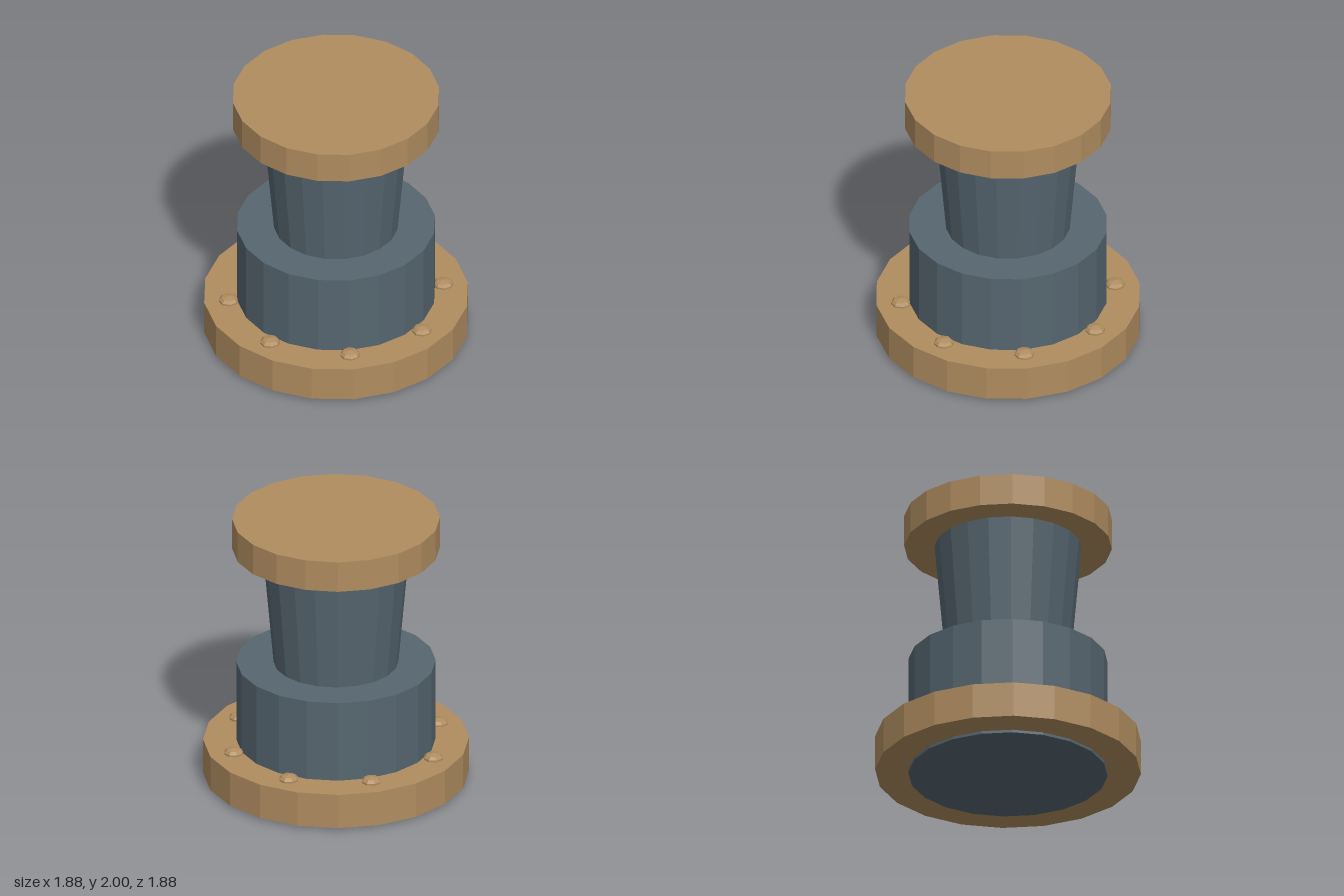
import * as THREE from 'three';

const SIDES = 20;

export function createModel() {
  const model = new THREE.Group();
  model.name = 'flangedPost';

  const brass = new THREE.MeshStandardMaterial({ color: 0xb08d60, flatShading: true });
  brass.name = 'brass';
  const slate = new THREE.MeshStandardMaterial({ color: 0x566670, flatShading: true });
  slate.name = 'slate';

  // Upright drum between two heights
  function drum(name, bottomRadius, topRadius, y0, y1, material) {
    const geometry = new THREE.CylinderGeometry(topRadius, bottomRadius, y1 - y0, SIDES);
    const mesh = new THREE.Mesh(geometry, material);
    mesh.name = name;
    mesh.position.y = (y0 + y1) / 2;
    model.add(mesh);
  }

  drum('baseDrum', 0.705, 0.705, 0, 0.885, slate);
  drum('baseFlange', 0.94, 0.94, 0.02, 0.28, brass);
  drum('taperedNeck', 0.442, 0.52, 0.885, 1.77, slate);
  drum('topCap', 0.735, 0.735, 1.77, 2, brass);

  // Ring of eight domed bolts on the flange
  const boltProfile = [[0.07, -0.02], [0.07, 0.013], [0.052, 0.032], [0, 0.045]]
    .map(([r, y]) => new THREE.Vector2(r, y));
  const boltGeometry = new THREE.LatheGeometry(boltProfile, 8);
  const bolts = new THREE.Group();
  bolts.name = 'flangeBolts';
  for (let i = 0; i < 8; i++) {
    const angle = (i * Math.PI) / 4;
    const bolt = new THREE.Mesh(boltGeometry, brass);
    bolt.name = 'bolt';
    bolt.position.set(0.765 * Math.cos(angle), 0.28, 0.765 * Math.sin(angle));
    bolts.add(bolt);
  }
  model.add(bolts);

  return model;
}
